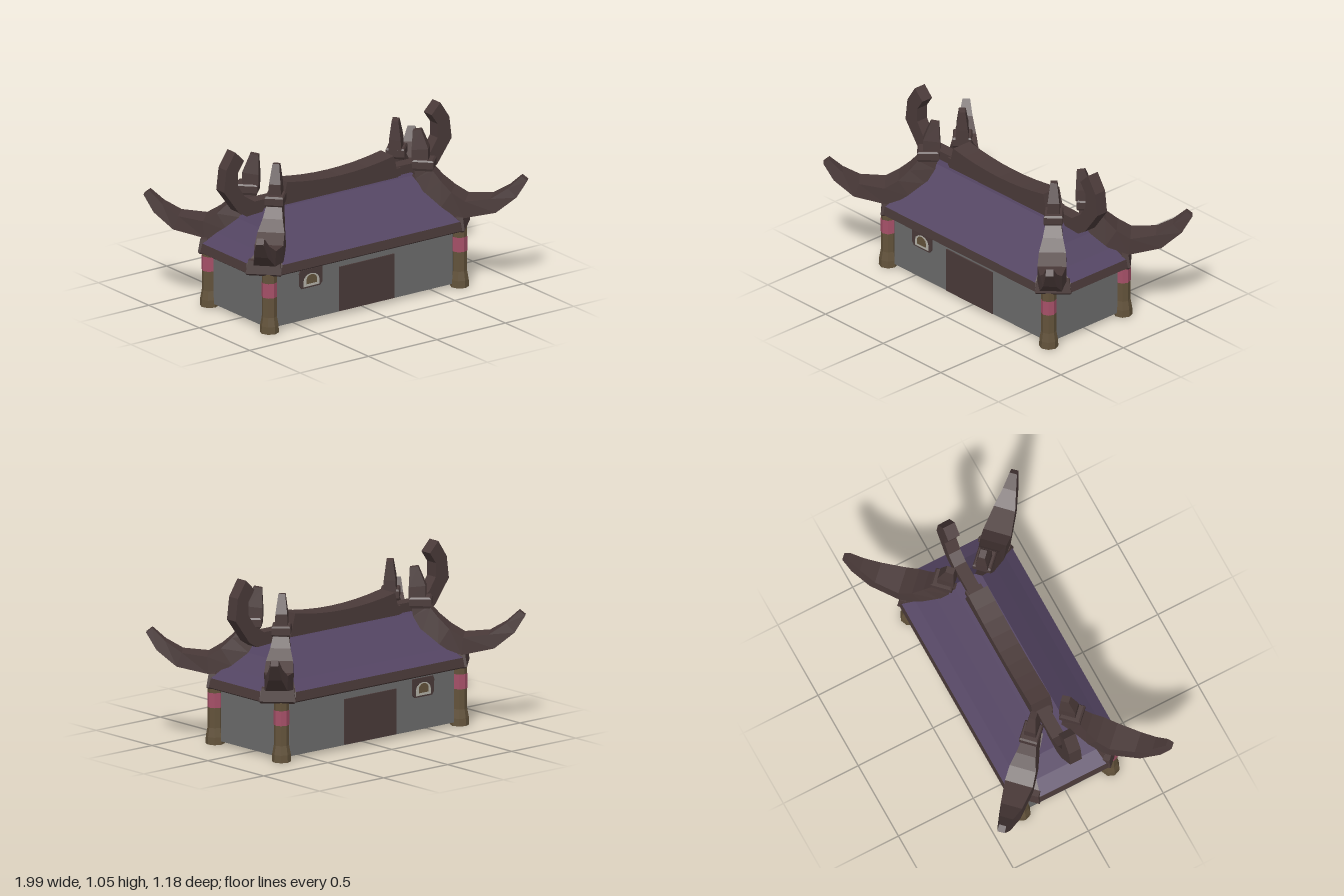
import * as THREE from 'three';

const mat = (name, color, side = THREE.FrontSide) => {
  const m = new THREE.MeshStandardMaterial({ color, side });
  m.name = name;
  return m;
};

// Flat-faced skin over a list of rings; keep(j) selects which sides are built
function loft(rings, { bottom = true, top = true, keep = () => true } = {}) {
  const pos = [];
  const tri = (a, b, c) => pos.push(...a, ...b, ...c);
  const n = rings[0].length;
  for (let i = 0; i < rings.length - 1; i++) {
    for (let j = 0; j < n; j++) {
      if (!keep(j)) continue;
      const k = (j + 1) % n;
      const a = rings[i][j], b = rings[i][k], c = rings[i + 1][k], d = rings[i + 1][j];
      tri(a, b, c);
      tri(a, c, d);
    }
  }
  const first = rings[0], last = rings[rings.length - 1];
  for (let j = 1; j < n - 1; j++) {
    if (bottom) tri(first[0], first[j + 1], first[j]);
    if (top) tri(last[0], last[j], last[j + 1]);
  }
  const g = new THREE.BufferGeometry();
  g.setAttribute('position', new THREE.Float32BufferAttribute(pos, 3));
  g.computeVertexNormals();
  return g;
}

// Rectangle with cut corners at height y; odd sides are the corner cuts
const octagon = ([X, Z, c, y]) => [
  [X, y, Z - c], [X, y, c - Z], [X - c, y, -Z], [c - X, y, -Z],
  [-X, y, c - Z], [-X, y, Z - c], [c - X, y, Z], [X - c, y, Z],
];

// Rectangular sections [s, y, thickness, width] swept along a path in the xy plane
function sweep(path) {
  return loft(path.map(([s, y, h, w], i) => {
    const p = path[Math.max(i - 1, 0)], q = path[Math.min(i + 1, path.length - 1)];
    const len = Math.hypot(q[0] - p[0], q[1] - p[1]);
    const nx = -(q[1] - p[1]) / len * h / 2, ny = (q[0] - p[0]) / len * h / 2;
    return [[-1, -1], [1, -1], [1, 1], [-1, 1]].map(([u, v]) => [s + u * nx, y + u * ny, v * w / 2]);
  }));
}

// Polygon in the xy plane, extruded evenly about z = 0
function slab(points, depth) {
  const shape = new THREE.Shape(points.map(([x, y]) => new THREE.Vector2(x, y)));
  return new THREE.ExtrudeGeometry(shape, { depth, bevelEnabled: false }).translate(0, 0, -depth / 2);
}

export function createModel() {
  const grey = mat('wall grey', 0x6c6c6c, THREE.DoubleSide);
  const brown = mat('dark brown wood', 0x4a3a39);
  const purple = mat('purple roof', 0x534462);
  const wood = mat('column wood', 0x63533b);
  const pink = mat('pink band', 0xa65068);
  const pale = mat('pale window rim', 0xb4b2a8);

  const model = new THREE.Group();
  model.name = 'hall';
  const body = new THREE.Group();
  body.name = 'building';
  body.position.x = -0.015;
  model.add(body);
  const add = (parent, name, geometry, material, x = 0, y = 0, z = 0) => {
    const m = new THREE.Mesh(geometry, material);
    m.name = name;
    m.position.set(x, y, z);
    parent.add(m);
    return m;
  };

  // Walls, open underneath, with the columns set into the cut corners
  add(body, 'walls', loft([octagon([0.7, 0.303, 0.058, 0.022]), octagon([0.7, 0.303, 0.058, 0.3595])], { bottom: false }), grey);

  // Eave band and curved hipped roof with brown hips
  add(body, 'eaveBand', loft([
    [0.795, 0.365, 0.145, 0.36], [0.81, 0.378, 0.15, 0.37], [0.8, 0.37, 0.15, 0.425],
  ].map(octagon), { top: false }), brown);
  const roof = [
    [0.8, 0.37, 0.15, 0.425], [0.71, 0.3, 0.1, 0.48], [0.61, 0.2, 0.07, 0.57], [0.535, 0.09, 0.03, 0.665],
  ].map(octagon);
  add(body, 'roof', loft(roof, { bottom: false, keep: (j) => j % 2 === 0 }), purple);
  add(body, 'roofHips', loft(roof, { bottom: false, top: false, keep: (j) => j % 2 === 1 }), brown);

  // Sagging ridge beam
  const sag = [];
  for (let i = 0; i <= 8; i++) {
    const t = i / 4 - 1;
    sag.push([-0.39 * t, 0.765 + 0.038 * t * t]);
  }
  add(body, 'ridgeBeam', slab([[-0.43, 0.65], [0.43, 0.65], ...sag], 0.13), brown);

  // Hooked horns at the ridge ends
  const hook = [
    [0.4, 0.655], [0.665, 0.638], [0.725, 0.675], [0.832, 0.82], [0.815, 0.955], [0.75, 1.055], [0.685, 0.99],
    [0.73, 0.925], [0.73, 0.84], [0.68, 0.765], [0.61, 0.72], [0.4, 0.72],
  ];
  for (const sx of [-1, 1]) {
    const side = sx > 0 ? 'left' : 'right';
    add(body, side + 'RidgeHorn', slab(hook.map(([x, y]) => [sx * x, y]), 0.078), brown);
    add(body, side + 'RidgeCollar', new THREE.BoxGeometry(0.06, 0.06, 0.105), brown, sx * 0.42, 0.685);
  }

  // Corner tusk, collar and upright horn share a diagonal plane
  const tusk = sweep([
    [0.082, 0.725, 0.11, 0.09], [0.088, 0.69, 0.115, 0.095], [0.14, 0.615, 0.13, 0.12], [0.22, 0.545, 0.125, 0.16],
    [0.33, 0.495, 0.105, 0.17], [0.5, 0.522, 0.09, 0.13], [0.61, 0.6, 0.075, 0.08], [0.68, 0.687, 0.045, 0.045],
  ]);
  const collar = sweep([
    [0.08, 0.712, 0.11, 0.1], [0.08, 0.727, 0.13, 0.112], [0.08, 0.768, 0.13, 0.112], [0.08, 0.778, 0.11, 0.1],
  ]);
  const upright = sweep([
    [0.06, 0.77, 0.1, 0.075], [0.06, 0.84, 0.1, 0.07], [0.04, 0.955, 0.05, 0.04],
  ]);
  // Raised eave corner, tapering upward
  const eaveCorner = sweep([
    [0, 0.358, 0.045, 0.2], [0, 0.37, 0.065, 0.215], [0, 0.448, 0.04, 0.19],
  ]);
  // Columns: flared foot, narrow shaft, pink band
  const column = new THREE.LatheGeometry([
    [0, 0], [0.057, 0], [0.055, 0.045], [0.045, 0.1], [0.045, 0.37],
  ].map(([r, y]) => new THREE.Vector2(r, y)), 8).toNonIndexed();
  column.computeVertexNormals();
  const band = new THREE.CylinderGeometry(0.0465, 0.0465, 0.09, 8, 1, true).toNonIndexed();
  band.computeVertexNormals();

  for (const sx of [-1, 1]) for (const sz of [-1, 1]) {
    const name = (sz > 0 ? 'front' : 'back') + (sx > 0 ? 'Left' : 'Right');
    const diagonal = Math.atan2(-sz, sx);
    const horn = new THREE.Group();
    horn.name = name + 'Horn';
    horn.position.set(sx * 0.487, 0, sz * 0.08);
    horn.rotation.y = diagonal;
    add(horn, 'tusk', tusk, brown);
    add(horn, 'collar', collar, brown);
    add(horn, 'uprightHorn', upright, brown);
    model.add(horn);

    const post = new THREE.Group();
    post.name = name + 'Column';
    post.position.set(sx * 0.695, 0, sz > 0 ? 0.302 : -0.292);
    add(post, 'shaft', column, wood);
    add(post, 'band', band, pink, 0, 0.267, 0);
    body.add(post);

    add(body, name + 'EaveCorner', eaveCorner, brown, sx * 0.722, 0, sz * 0.29).rotation.y = diagonal;
  }

  // Arched plate outline for the window
  const arch = (w, y0, y1) => {
    const r = w / 2, pts = [[-r, y0], [r, y0]];
    for (let i = 0; i <= 6; i++) {
      const a = i * Math.PI / 6;
      pts.push([r * Math.cos(a), y1 - r * 0.8 + r * 0.8 * Math.sin(a)]);
    }
    return pts;
  };
  const frame = [
    [-0.07, 0.22], [0.065, 0.22], [0.082, 0.24], [0.082, 0.335], [-0.078, 0.335], [-0.086, 0.315], [-0.084, 0.24],
  ];
  // Door and window on both long sides, showing through the wall
  for (const sz of [-1, 1]) {
    const name = sz > 0 ? 'front' : 'back';
    add(body, name + 'Door', new THREE.BoxGeometry(0.4, 0.275, 0.016), brown, 0.015, 0.163, sz * 0.303);
    const win = new THREE.Group();
    win.name = name + 'Window';
    win.position.set(-0.395, 0, sz * 0.303);
    add(win, 'frame', slab(frame, 0.016), brown);
    add(win, 'rim', slab(arch(0.115, 0.23, 0.308), 0.022), pale);
    add(win, 'pane', slab(arch(0.075, 0.246, 0.302), 0.028), wood);
    body.add(win);
  }
  return model;
}
